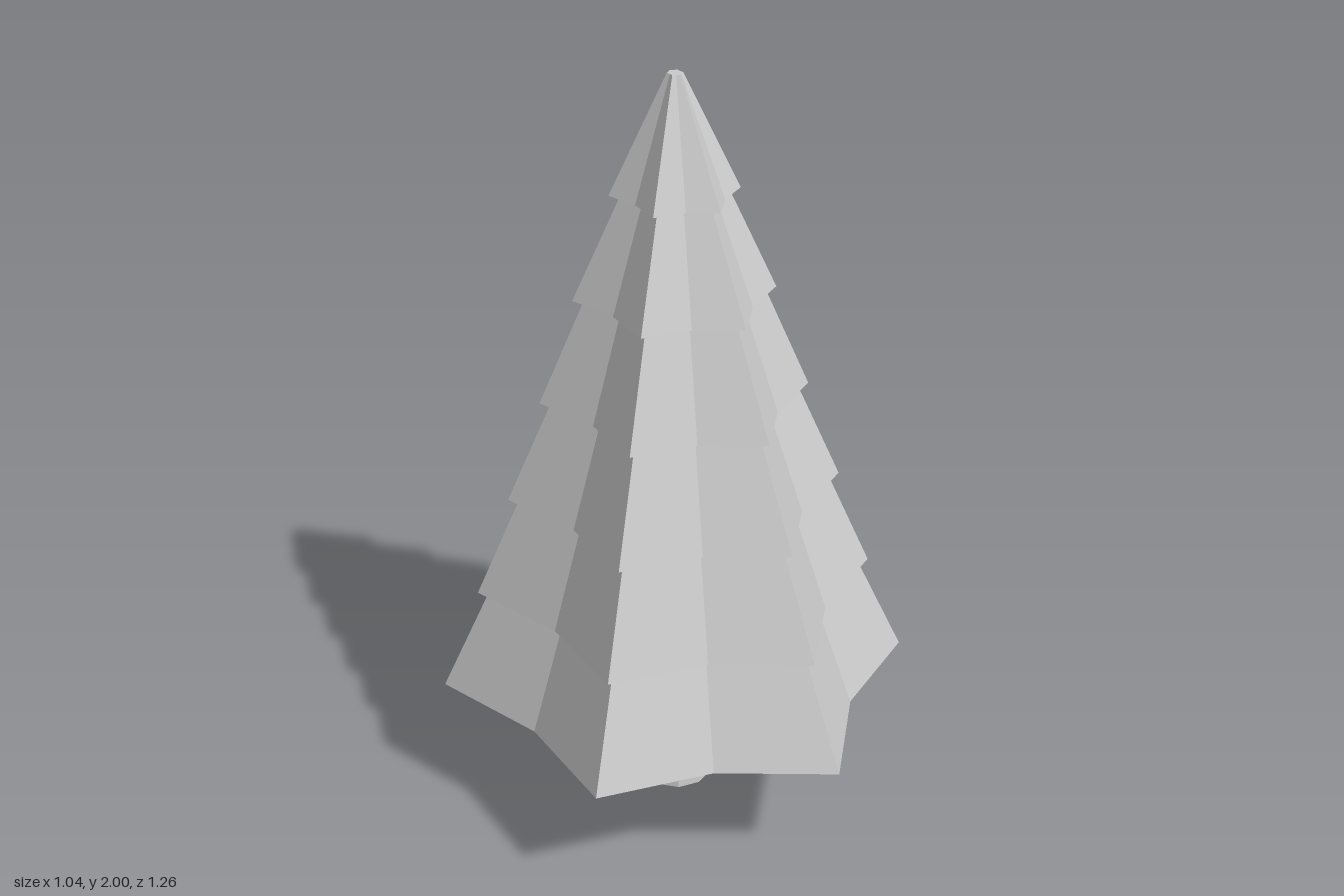
import * as THREE from 'three';

const material = new THREE.MeshStandardMaterial({ color: 0xcccccc, flatShading: true });

// One star-shaped branch tier: a 12-sided lathe whose odd corners are pulled in
function makeTier(bottomY, bottomR, topY, topR) {
  const profile = [[0, bottomY], [bottomR, bottomY], [topR, topY], [0, topY]]
    .map(([r, y]) => new THREE.Vector2(r, y));
  const geometry = new THREE.LatheGeometry(profile, 12);
  const p = geometry.attributes.position;
  for (let i = 0; i < p.count; i++) {
    const valley = Math.floor(i / profile.length) % 2 === 1;
    const pull = valley ? 0.78 : 1;
    p.setXYZ(i, p.getX(i) * pull * 0.953, p.getY(i), p.getZ(i) * pull);
  }
  geometry.computeVertexNormals();
  return new THREE.Mesh(geometry, material);
}

export function createModel() {
  const tree = new THREE.Group();
  tree.name = 'coniferTree';

  // Trunk, slightly waisted and flared at the foot
  const trunkProfile = [[0, 0], [0.096, 0], [0.087, 0.11], [0.084, 0.2], [0.09, 0.345], [0, 0.345]]
    .map(([r, y]) => new THREE.Vector2(r, y));
  const trunk = new THREE.Mesh(new THREE.LatheGeometry(trunkProfile, 10), material);
  trunk.name = 'trunk';
  trunk.position.x = 0.004;
  tree.add(trunk);

  // Stacked foliage tiers, each overhanging the one below
  const tiers = [[0.34, 0.63], [0.615, 0.53], [0.885, 0.44], [1.155, 0.35], [1.43, 0.26], [1.7, 0.165]];
  tiers.forEach(([y, r], i) => {
    const last = i === tiers.length - 1;
    const topY = last ? 2 : tiers[i + 1][0];
    const topR = last ? 0.02 : tiers[i + 1][1] - 0.03;
    const tier = makeTier(y, r, topY, topR);
    tier.name = `foliageTier${i + 1}`;
    tree.add(tier);
  });

  return tree;
}
